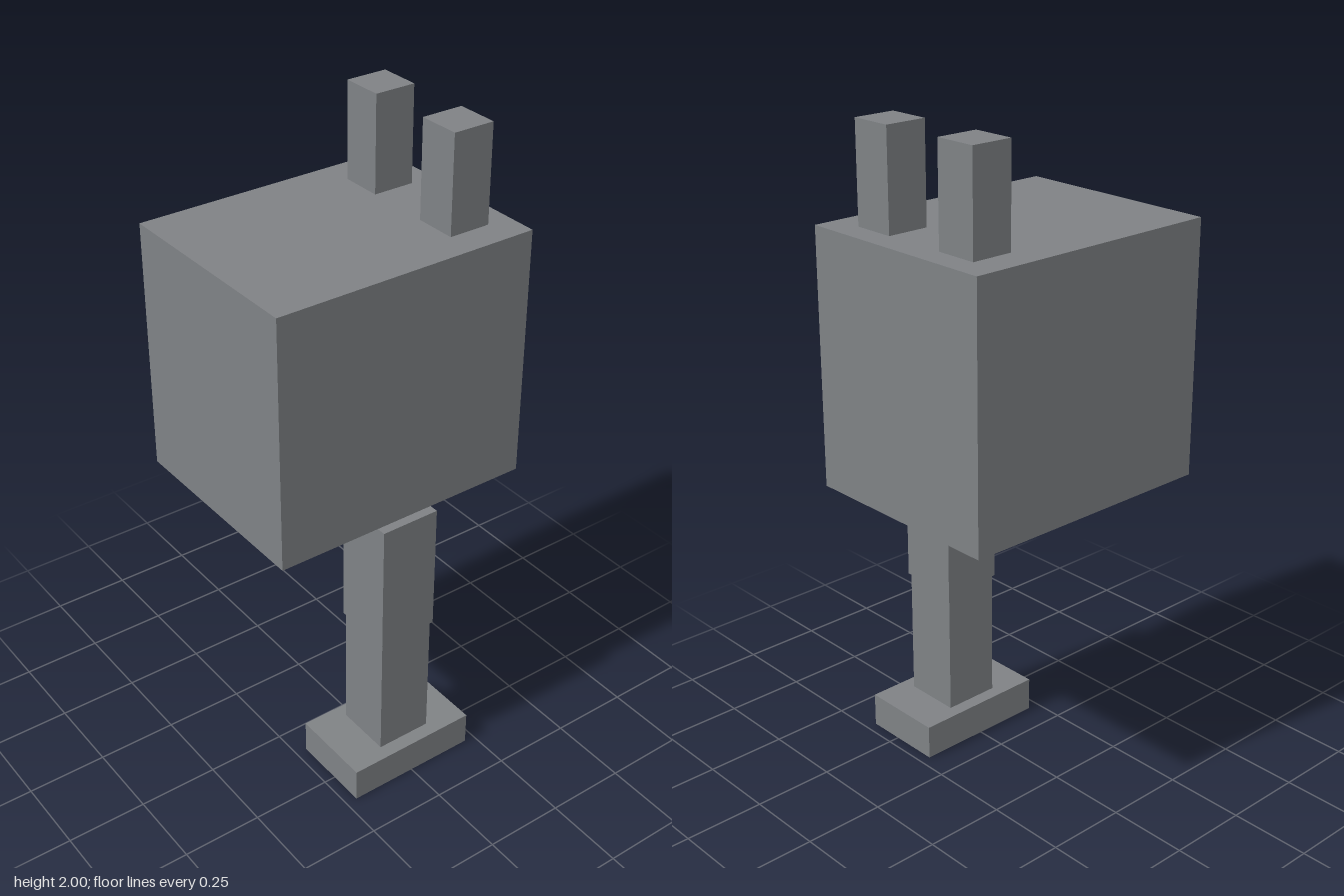
import * as THREE from 'three';

export function createModel() {
  const model = new THREE.Group();
  const grey = new THREE.MeshStandardMaterial({ color: 0x7f8285 });
  grey.name = 'grey';

  // Adds a box spanning the given x, y and z ranges
  const addBox = (name, [x0, x1], [y0, y1], [z0, z1]) => {
    const mesh = new THREE.Mesh(new THREE.BoxGeometry(x1 - x0, y1 - y0, z1 - z0), grey);
    mesh.position.set((x0 + x1) / 2, (y0 + y1) / 2, (z0 + z1) / 2);
    mesh.name = name;
    model.add(mesh);
  };

  // Blocky body
  addBox('body', [-0.365, 0.295], [0.925, 1.703], [-0.419, 0.417]);

  // Two posts standing at the back of the body
  addBox('rightEar', [-0.267, -0.135], [1.703, 2], [-0.343, -0.212]);
  addBox('leftEar', [0.068, 0.2], [1.703, 2], [-0.343, -0.212]);

  // Single leg, offset to the left side
  addBox('upperLeg', [0.132, 0.324], [0.517, 0.925], [-0.096, 0.093]);
  addBox('lowerLeg', [0.138, 0.318], [0.108, 0.517], [-0.09, 0.088]);
  addBox('foot', [0.096, 0.363], [0, 0.108], [-0.216, 0.213]);

  return model;
}
